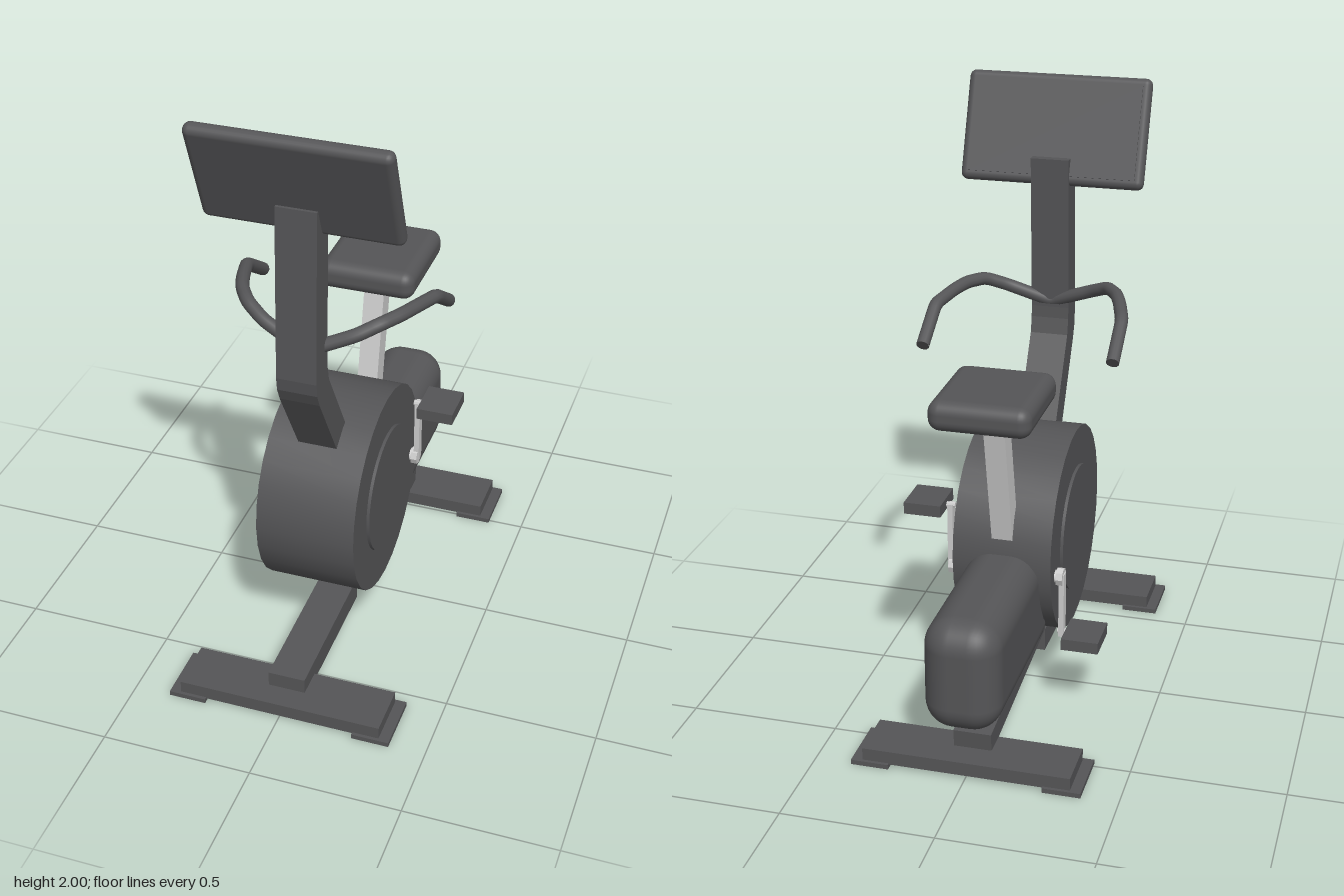
import * as THREE from 'three';
import { toCreasedNormals } from 'three/addons/utils/BufferGeometryUtils.js';
import { RoundedBoxGeometry } from 'three/addons/geometries/RoundedBoxGeometry.js';

export function createModel() {
  const model = new THREE.Group();
  model.name = 'exerciseBike';

  const charcoal = new THREE.MeshStandardMaterial({ name: 'charcoal', color: 0x555557 });
  const silver = new THREE.MeshStandardMaterial({ name: 'silver', color: 0xcccccc });

  const add = (name, geometry, material, x = 0, y = 0, z = 0, rx = 0) => {
    const mesh = new THREE.Mesh(geometry, material);
    mesh.name = name;
    mesh.position.set(x, y, z);
    mesh.rotation.x = rx;
    model.add(mesh);
    return mesh;
  };
  const box = (w, h, d) => new THREE.BoxGeometry(w, h, d);
  // Cylinder lying along x, smooth around with sharp rims
  const drum = (r, w, sides) =>
    toCreasedNormals(new THREE.CylinderGeometry(r, r, w, sides).rotateZ(Math.PI / 2), 0.6);
  // Side profile given as [z, y] points, extruded across x
  const sideProfile = (points, width) => {
    const shape = new THREE.Shape(points.map(([z, y]) => new THREE.Vector2(z, y)));
    return new THREE.ExtrudeGeometry(shape, { depth: width, bevelEnabled: false })
      .translate(0, 0, -width / 2).rotateY(-Math.PI / 2);
  };

  // Flywheel and its side covers
  add('flywheel', drum(0.352, 0.332, 28), charcoal, 0, 0.54, 0.12);
  add('flywheelCovers', drum(0.216, 0.352, 32), charcoal, 0, 0.54, 0.12);

  // Rear housing
  add('rearHousing', new RoundedBoxGeometry(0.25, 0.378, 0.715, 5, 0.095), charcoal, 0, 0.386, -0.398);

  // Seat and slanted post
  add('seat', new RoundedBoxGeometry(0.33, 0.1, 0.37, 4, 0.04), charcoal, 0, 1.155, -0.32);
  add('seatPost', box(0.07, 0.62, 0.07), silver, 0, 0.825, -0.227, -0.215);

  // Bent front column
  add('column', sideProfile([
    [0.333, 0.81], [0.492, 1.08], [0.512, 1.125], [0.518, 1.17], [0.497, 1.745],
    [0.397, 1.745], [0.418, 1.22], [0.417, 1.18], [0.405, 1.125], [0.249, 0.86],
  ], 0.13), charcoal);

  // Console leaning forward, with its display on the rider's side
  const tilt = 0.372;
  const consoleGroup = new THREE.Group();
  consoleGroup.name = 'console';
  consoleGroup.position.set(0, 1.825, 0.491);
  consoleGroup.rotation.x = tilt;
  const housing = new THREE.Mesh(new RoundedBoxGeometry(0.63, 0.372, 0.05, 3, 0.023), charcoal);
  housing.name = 'consoleHousing';
  const display = new THREE.Mesh(box(0.574, 0.316, 0.008), charcoal);
  display.name = 'display';
  display.position.z = -0.026;
  consoleGroup.add(housing, display);
  model.add(consoleGroup);

  // Handlebars: one mirrored path of short bends
  const half = [
    [0.15, 1.295, 0.4], [0.215, 1.325, 0.36], [0.26, 1.328, 0.29],
    [0.285, 1.322, 0.22], [0.316, 1.305, 0.11], [0.318, 1.208, -0.035],
  ];
  const barPoints = [
    ...half.map(([x, y, z]) => [-x, y, z]).reverse(), [0, 1.235, 0.44], ...half,
  ].map((p) => new THREE.Vector3(...p));
  const barPath = new THREE.CurvePath();
  // Straight runs joined by small rounded corners
  let start = barPoints[0];
  for (let i = 1; i < barPoints.length - 1; i++) {
    const p = barPoints[i];
    const before = p.clone().lerp(start, Math.min(0.45, 0.025 / p.distanceTo(start)));
    const after = p.clone().lerp(barPoints[i + 1], Math.min(0.45, 0.025 / p.distanceTo(barPoints[i + 1])));
    barPath.add(new THREE.LineCurve3(start, before));
    barPath.add(new THREE.QuadraticBezierCurve3(before, p, after));
    start = after;
  }
  barPath.add(new THREE.LineCurve3(start, barPoints[barPoints.length - 1]));
  add('handlebars', new THREE.TubeGeometry(barPath, 120, 0.022, 12), charcoal);
  // Flat caps closing the grips
  for (const t of [0, 1]) {
    const cap = add('gripCap', new THREE.CircleGeometry(0.022, 12), charcoal);
    const out = barPath.getTangent(t).multiplyScalar(t ? 1 : -1);
    cap.position.copy(barPath.getPoint(t));
    cap.quaternion.setFromUnitVectors(new THREE.Vector3(0, 0, 1), out);
  }

  // Cranks: left arm up, right arm down
  add('crankAxle', drum(0.022, 0.37, 12), silver, 0, 0.487, -0.16);
  for (const side of [1, -1]) {
    add('crankHub', drum(0.031, 0.022, 8), silver, side * 0.184, 0.487, -0.16);
    add('crankArm', box(0.018, 0.23, 0.032), silver, side * 0.19, 0.49 + side * 0.105, -0.16);
    add('pedalSpindle', drum(0.01, 0.06, 8), silver, side * 0.205, 0.495 + side * 0.21, -0.16);
    add('pedal', box(0.125, 0.04, 0.148), charcoal, side * 0.267, 0.493 + side * 0.217, -0.162);
  }

  // Base beams
  add('frontBeam', sideProfile([[0.66, 0.03], [0.66, 0.11], [0.12, 0.12], [0.12, 0.038]].reverse(), 0.125), charcoal);
  add('rearBeam', sideProfile([[0.12, 0.122], [0.115, 0.19], [-0.588, 0.118], [-0.582, 0.048]].reverse(), 0.125), charcoal);

  // Cross bars with foot plates at both ends
  for (const z of [0.652, -0.586]) {
    add('crossBar', box(0.685, 0.046, 0.178), charcoal, 0, 0.035, z);
    for (const side of [1, -1]) {
      add('footPlate', box(0.125, 0.016, 0.2), charcoal, side * 0.316, 0.008, z);
    }
  }
  return model;
}
